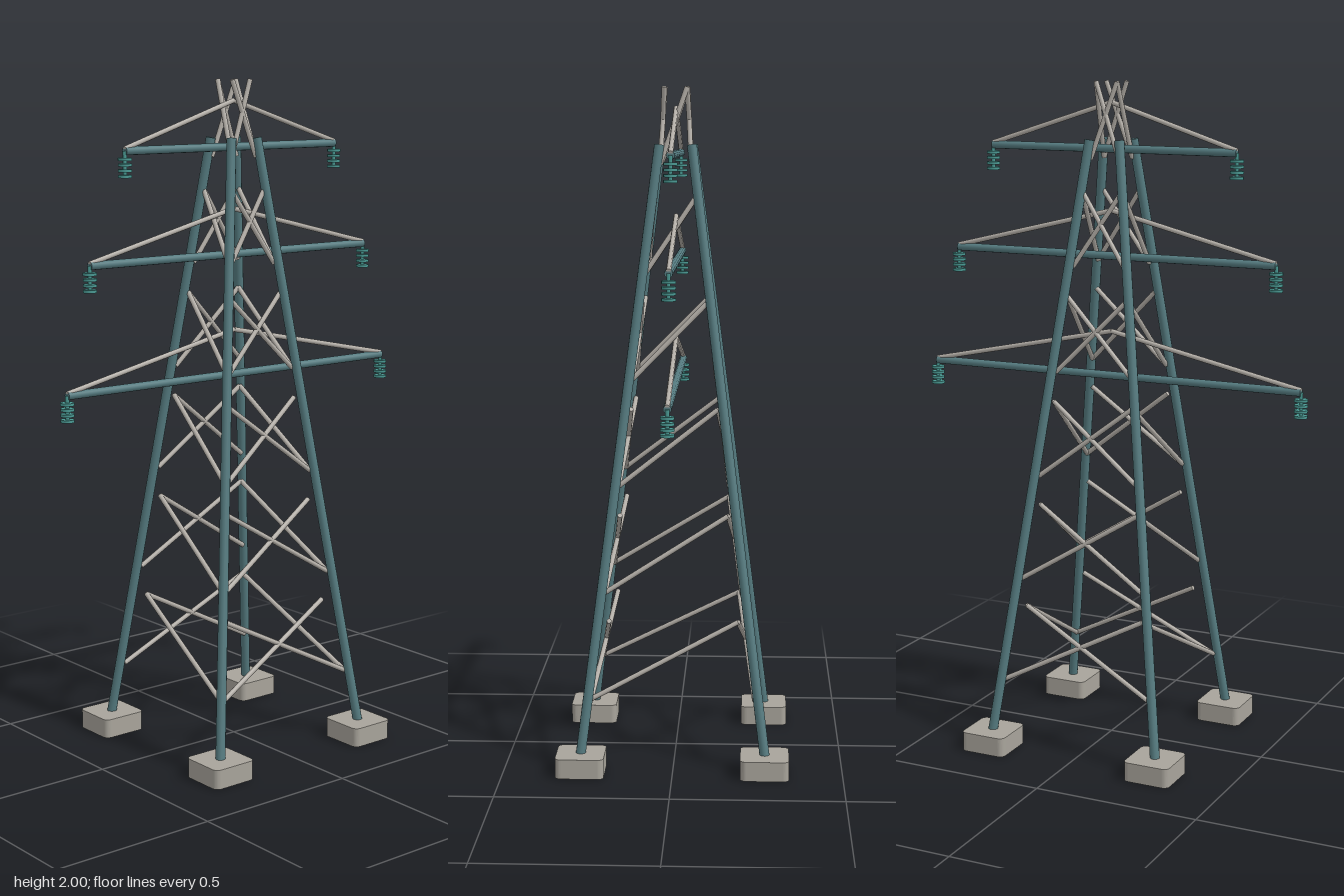
import * as THREE from 'three';

const mat = (name, color) => Object.assign(new THREE.MeshStandardMaterial({ color }), { name });

export function createModel() {
  const paint = mat('teal painted steel', 0x557b80);
  const steel = mat('galvanised steel', 0xb5b0a9);
  const concrete = mat('concrete', 0xa8a49b);
  const glass = mat('insulator glass', 0x4a9993);

  const model = new THREE.Group();
  model.name = 'transmissionTower';
  const V = (x, y, z) => new THREE.Vector3(x, y, z);

  // round bar between two points
  function bar(name, a, b, r, material, sides = 10) {
    const dir = b.clone().sub(a);
    const mesh = new THREE.Mesh(new THREE.CylinderGeometry(r, r, dir.length(), sides), material);
    mesh.position.copy(a).add(b).multiplyScalar(0.5);
    mesh.quaternion.setFromUnitVectors(V(0, 1, 0), dir.normalize());
    mesh.name = name;
    model.add(mesh);
  }

  // footing: square block with rounded upright edges
  const h = 0.0715, c = 0.018, k = h - c;
  const plan = new THREE.Shape();
  plan.absarc(k, k, c, 0, Math.PI / 2);
  plan.absarc(-k, k, c, Math.PI / 2, Math.PI);
  plan.absarc(-k, -k, c, Math.PI, Math.PI * 1.5);
  plan.absarc(k, -k, c, Math.PI * 1.5, Math.PI * 2);
  const footing = new THREE.ExtrudeGeometry(plan, { depth: 0.058, bevelEnabled: false, curveSegments: 4 });
  footing.rotateX(-Math.PI / 2);

  // legs on their footings
  for (const sx of [-1, 1]) for (const sz of [-1, 1]) {
    const foot = new THREE.Mesh(footing, concrete);
    foot.position.set(sx * 0.271, 0, sz * 0.271);
    foot.name = 'footing';
    model.add(foot);
    bar('leg', V(sx * 0.271, 0.055, sz * 0.271), V(sx * 0.048, 1.832, sz * 0.048), 0.0145, paint, 12);
  }

  // bracing panels: crossed on front and back, single diagonals on the sides
  for (let i = 0; i < 6; i++) {
    const y0 = 0.213 + i * 0.3125, y1 = 0.437 + i * 0.3125;
    const r0 = 0.241 - i * 0.039, r1 = 0.191 - i * 0.0315;
    for (const s of [-1, 1]) {
      for (const d of [-1, 1])
        bar('crossBrace', V(-d * r0, y0, s * r0), V(d * r1, y1, s * r1), 0.0075, steel, 8);
      bar('sideBrace', V(s * r0, y0, r0), V(s * r1, y1, -r1), 0.0075, steel, 8);
    }
  }

  // crossarms with tie bars and insulator stacks
  for (const [y, reach] of [[1.13, 0.603], [1.49, 0.52], [1.805, 0.395]]) {
    bar('crossarm', V(-reach, y, 0), V(reach, y, 0), 0.012, paint, 12);
    for (const s of [-1, 1]) {
      bar('tieBar', V(s * reach, y + 0.006, 0), V(0, y + 0.134, 0), 0.0075, steel, 8);
      bar('insulatorRod', V(s * reach, y, 0), V(s * reach, y - 0.074, 0), 0.006, glass, 8);
      for (let i = 0; i < 4; i++) {
        const dy = y - 0.023 - i * 0.016;
        bar('insulatorDisc', V(s * reach, dy - 0.004, 0), V(s * reach, dy + 0.004, 0), 0.02, glass, 16);
      }
    }
  }
  return model;
}
